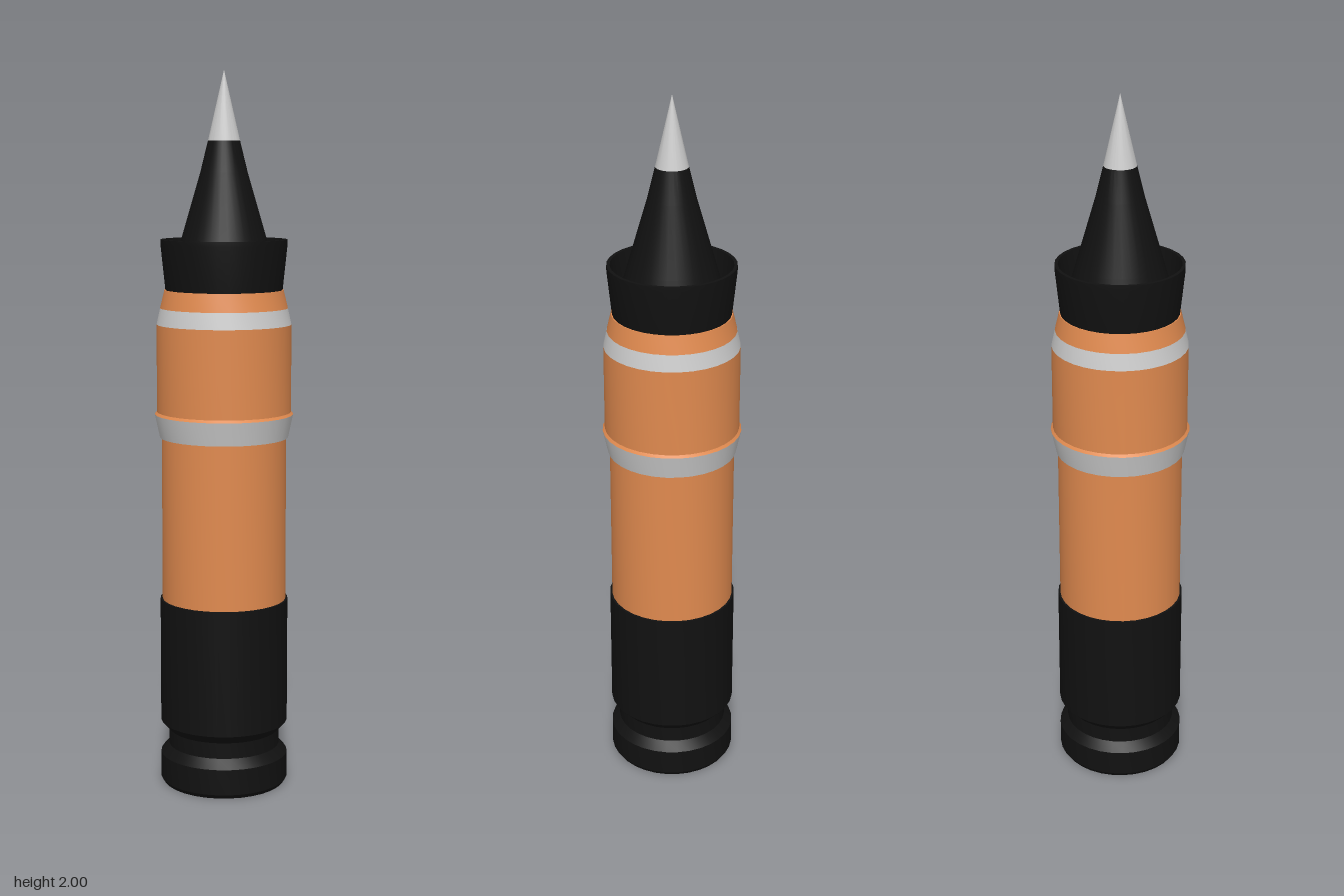
import * as THREE from 'three';
import { toCreasedNormals } from 'three/addons/utils/BufferGeometryUtils.js';

const SIDES = 32;

function material(color) {
  return new THREE.MeshStandardMaterial({ color, side: THREE.DoubleSide });
}

// Turned part from [radius, height] pairs, listed bottom to top.
function turned(name, mat, profile) {
  const points = profile.map(([r, y]) => new THREE.Vector2(r, y));
  const geometry = toCreasedNormals(new THREE.LatheGeometry(points, SIDES), 0.3);
  const mesh = new THREE.Mesh(geometry, mat);
  mesh.name = name;
  return mesh;
}

export function createModel() {
  const group = new THREE.Group();
  group.name = 'cartridge';
  const black = material(0x111111);
  const orange = material(0xe08a4f);
  const grey = material(0xcccccc);

  group.add(
    // Grooved base with a rim
    turned('base', black, [
      [0, 0], [0.172, 0], [0.18, 0.012], [0.18, 0.085], [0.157, 0.11],
      [0.157, 0.155], [0.18, 0.18], [0.18, 0.535], [0.173, 0.535],
    ]),
    // Casing and its two bands
    turned('lowerCasing', orange, [[0.174, 0.53], [0.174, 0.995]]),
    turned('lowerBand', grey, [[0.174, 0.995], [0.179, 0.995], [0.193, 1.06]]),
    turned('upperCasing', orange, [[0.193, 1.06], [0.187, 1.067], [0.187, 1.31]]),
    turned('upperBand', grey, [[0.187, 1.31], [0.177, 1.355]]),
    turned('shoulder', orange, [[0.177, 1.355], [0.165, 1.405], [0.155, 1.405]]),
    // Flared collar, open at the top
    turned('collar', black, [
      [0.155, 1.405], [0.162, 1.405], [0.175, 1.53], [0.175, 1.543],
      [0.166, 1.543], [0.15, 1.43], [0, 1.43],
    ]),
    // Tapered nose and pointed tip
    turned('nose', black, [
      [0.15, 1.43], [0.119, 1.54], [0.065, 1.725], [0.044, 1.81],
    ]),
    turned('tip', grey, [[0.044, 1.81], [0.022, 1.905], [0, 2]]),
  );
  return group;
}
